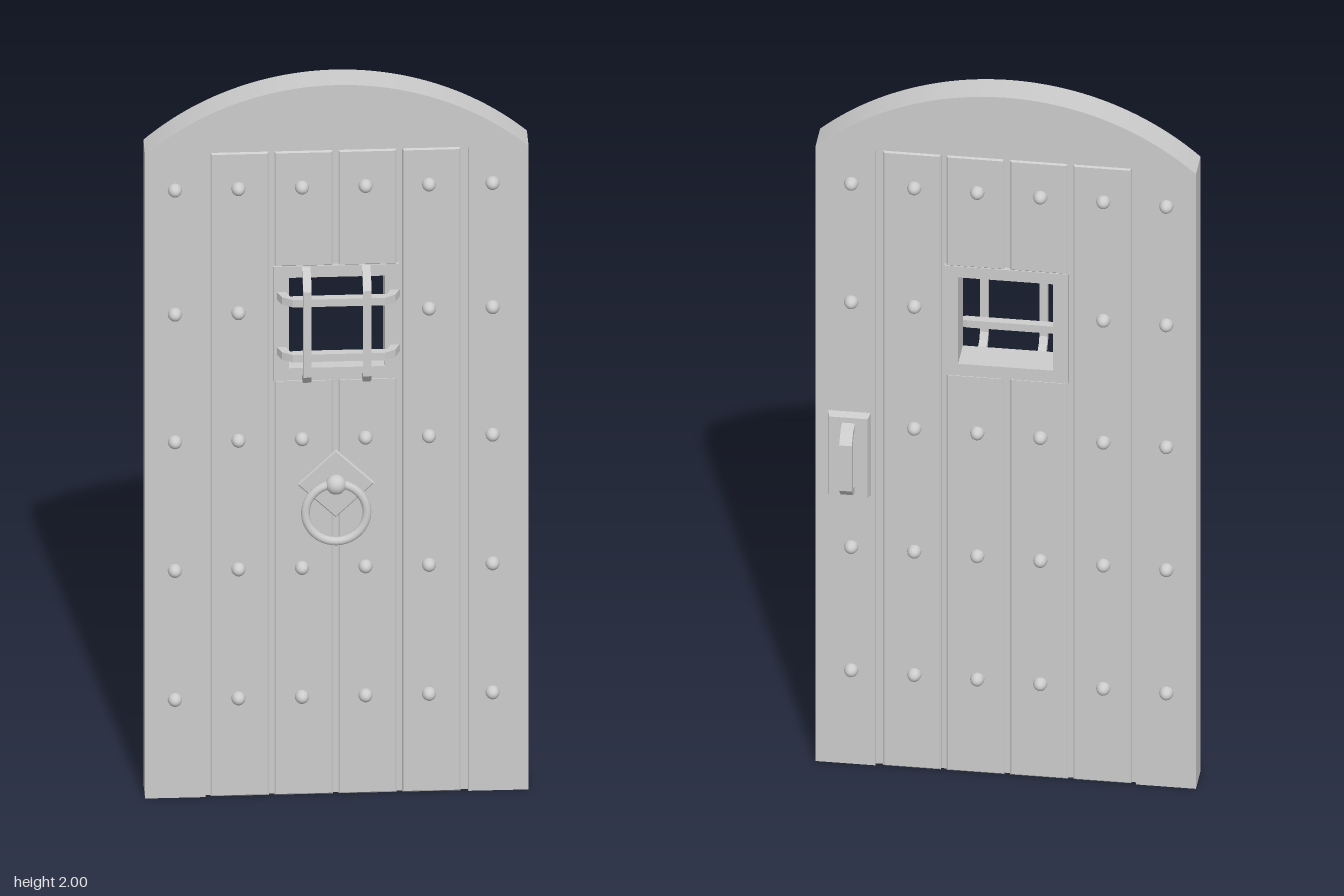
import * as THREE from 'three';

const material = new THREE.MeshStandardMaterial({ color: 0xcccccc });
const MID = 0.002; // middle of the door's thickness
const HALF = 0.042; // half of the door's thickness
const SPRING = 1.815; // height where the arch starts

function add(parent, name, geometry, x = 0, y = 0, z = 0) {
  const mesh = new THREE.Mesh(geometry, material);
  mesh.name = name;
  mesh.position.set(x, y, z);
  parent.add(mesh);
  return mesh;
}

// Shape extruded along z, centred on z = 0
function slab(shape, depth, bevel = 0) {
  const g = new THREE.ExtrudeGeometry(shape, {
    depth: depth - 2 * bevel, curveSegments: 32, bevelEnabled: bevel > 0,
    bevelSize: bevel, bevelThickness: bevel, bevelOffset: -bevel, bevelSegments: 1,
  });
  return g.translate(0, 0, -depth / 2 + bevel);
}

function polygon(points) {
  return new THREE.Shape(points.map(([x, y]) => new THREE.Vector2(x, y)));
}

function rect(x0, x1, y0, y1) {
  return polygon([[x0, y0], [x1, y0], [x1, y1], [x0, y1]]);
}

// Arc through (+-half, SPRING) and (0, SPRING + rise), drawn from one side to the other
function arch(shape, half, rise, leftToRight) {
  const r = (half * half + rise * rise) / (2 * rise);
  const cy = SPRING + rise - r;
  const a = Math.atan2(SPRING - cy, half);
  if (leftToRight) shape.absarc(0, cy, r, Math.PI - a, a, true);
  else shape.absarc(0, cy, r, a, Math.PI - a, false);
}

// Bent U-shaped strap: lies along x, stands out towards +z, centred on y
function strap(half, out, thick, width) {
  const outer = [[half, 0], [half - 0.013, out * 0.65], [half - 0.04, out]];
  const inner = [[half - 0.047, out - thick], [half - thick - 0.012, out * 0.6], [half - thick, 0]];
  const flip = (list) => list.map(([x, y]) => [-x, y]).reverse();
  const shape = polygon([...outer, ...flip(outer), ...flip(inner), ...inner]);
  return slab(shape, width).rotateX(Math.PI / 2);
}

function buildDoor() {
  const door = new THREE.Group();
  door.name = 'door';

  // Side boards joined by the arch
  const frame = new THREE.Shape();
  frame.moveTo(0.48, 0);
  frame.lineTo(0.48, SPRING);
  arch(frame, 0.48, 0.185, false);
  frame.lineTo(-0.48, 0);
  frame.lineTo(-0.329, 0);
  frame.lineTo(-0.329, SPRING);
  arch(frame, 0.329, 0.097, true);
  frame.lineTo(0.329, 0);
  add(door, 'archedFrame', slab(frame, 2 * HALF), 0, 0, MID);

  // Thinner core seen in the grooves, with the window opening
  const core = rect(-0.335, 0.335, 0, SPRING + 0.004);
  core.holes.push(rect(-0.12, 0.12, 1.205, 1.46));
  add(door, 'core', slab(core, 2 * HALF - 0.02), 0, 0, MID);

  // Panel under the arch
  const panel = new THREE.Shape();
  panel.moveTo(0.329, SPRING);
  arch(panel, 0.329, 0.097, false);
  add(door, 'archPanel', slab(panel, 2 * HALF - 0.008), 0, 0, MID);

  // Planks; the two middle ones are interrupted by the window
  for (let i = 0; i < 4; i++) {
    const cx = (i - 1.5) * 0.16 - 0.003;
    const spans = i === 1 || i === 2 ? [[0, 1.172], [1.49, SPRING]] : [[0, SPRING]];
    for (const [y0, y1] of spans) {
      add(door, 'plank', slab(rect(cx - 0.073, cx + 0.073, y0, y1), 2 * HALF, 0.004), 0, 0, MID);
    }
  }

  // Window surround
  const surround = rect(-0.158, 0.155, 1.17, 1.492);
  surround.holes.push(rect(-0.12, 0.12, 1.205, 1.46));
  add(door, 'windowSurround', slab(surround, 2 * HALF + 0.003), 0, 0, MID);
  return door;
}

function buildStuds() {
  const studs = new THREE.Group();
  studs.name = 'studs';
  const dome = new THREE.SphereGeometry(0.018, 16, 8, 0, Math.PI * 2, 0, Math.PI / 2);
  dome.scale(1, 1.3, 1).rotateX(Math.PI / 2);
  [0.278, 0.642, 1.005, 1.365, 1.715].forEach((y, row) => {
    for (let i = 0; i < 6; i++) {
      if (row === 3 && (i === 2 || i === 3)) continue; // window
      const x = (i - 2.5) * 0.159 - 0.008;
      add(studs, 'frontStud', dome, x, y, MID + HALF);
      add(studs, 'backStud', dome, x, y, MID - HALF).rotation.y = Math.PI;
    }
  });
  return studs;
}

function buildWindowBars() {
  const bars = new THREE.Group();
  bars.name = 'windowBars';
  for (const y of [1.255, 1.41]) {
    add(bars, 'horizontalBar', strap(0.155, 0.048, 0.022, 0.021), 0.003, y, 0.042);
  }
  for (const x of [-0.077, 0.073]) {
    add(bars, 'verticalBar', strap(0.16, 0.07, 0.018, 0.021).rotateZ(Math.PI / 2), x, 1.332, 0.042);
  }
  return bars;
}

function buildKnocker() {
  const knocker = new THREE.Group();
  knocker.name = 'knocker';
  knocker.position.set(-0.003, 0.88, 0);
  const diamond = polygon([[0, -0.095], [0.097, 0], [0, 0.095], [-0.097, 0]]);
  add(knocker, 'knockerPlate', slab(diamond, 0.014, 0.003), 0, 0, 0.047);
  add(knocker, 'knockerBall', new THREE.SphereGeometry(0.026, 20, 14), 0, 0.002, 0.06);
  const ring = add(knocker, 'knockerRing', new THREE.TorusGeometry(0.077, 0.011, 12, 40), 0, -0.073, 0.068);
  ring.rotation.x = -0.1;
  return knocker;
}

function buildBackHandle() {
  const handle = new THREE.Group();
  handle.name = 'backHandle';
  handle.position.set(0.394, 0.918, MID - HALF);
  handle.rotation.y = Math.PI;
  // Plate with sloping edges
  const plate = new THREE.BoxGeometry(0.108, 0.244, 0.024).translate(0, 0, 0.01);
  const p = plate.attributes.position;
  for (let i = 0; i < p.count; i++) {
    if (p.getZ(i) > 0.01) p.setXY(i, p.getX(i) * 0.9, p.getY(i) * 0.955);
  }
  plate.computeVertexNormals();
  add(handle, 'handlePlate', plate);
  add(handle, 'handleGrip', strap(0.107, 0.075, 0.019, 0.032).rotateZ(Math.PI / 2));
  return handle;
}

export function createModel() {
  const model = new THREE.Group();
  model.name = 'archedDoor';
  model.add(buildDoor(), buildStuds(), buildWindowBars(), buildKnocker(), buildBackHandle());
  return model;
}
